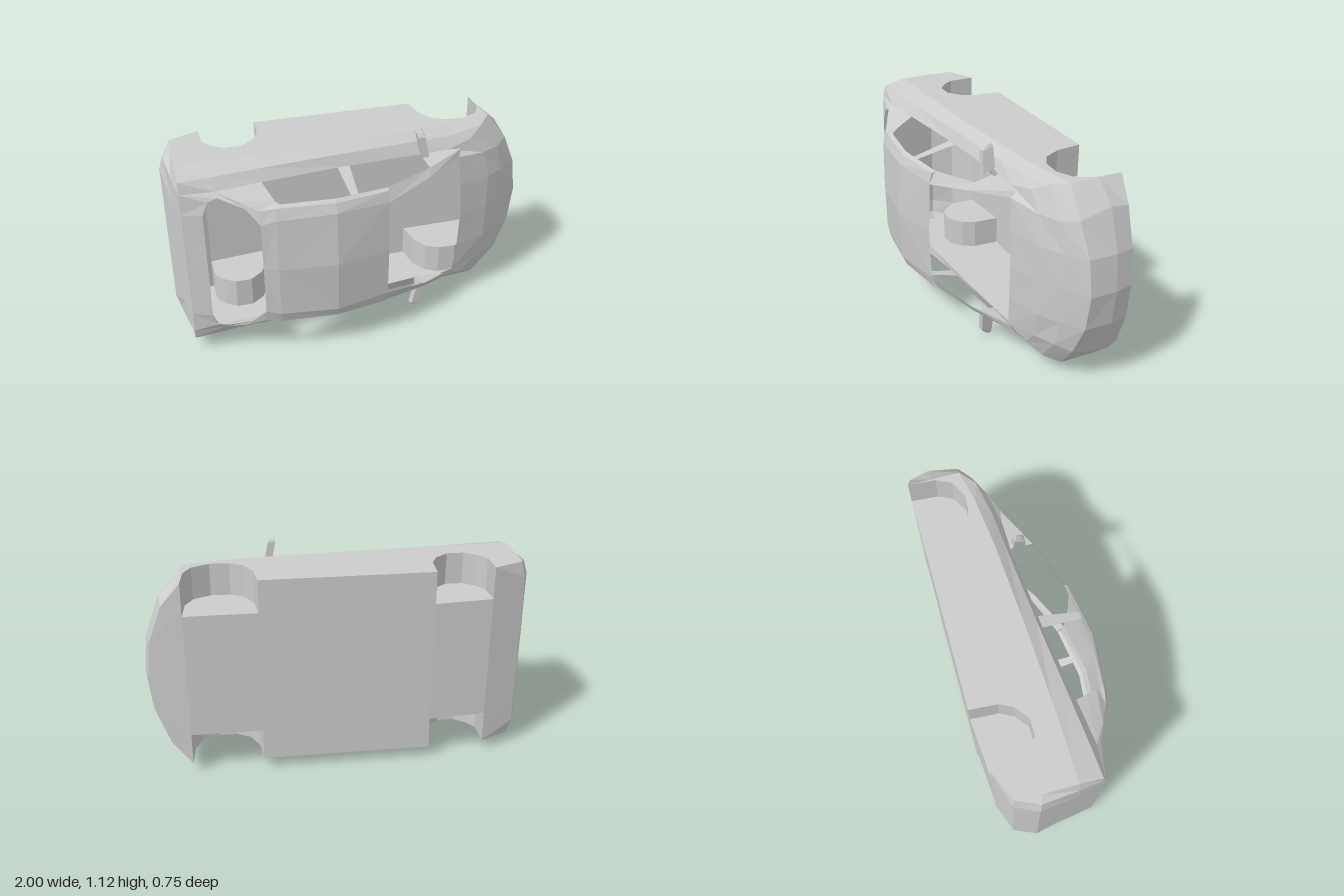
import * as THREE from 'three';

// Points are [x along the car, w half-width, z height]; the car lies with its roof facing +z.
const MID = 0.56;
const material = new THREE.MeshStandardMaterial({ color: 0xcccccc, flatShading: true, side: THREE.DoubleSide });

export function createModel() {
  const car = new THREE.Group();
  car.name = 'carBody';

  // Make one mesh from triangles, turned to face away from a reference point.
  function addMesh(name, tris, ref) {
    const pos = [];
    const n = new THREE.Vector3(), e = new THREE.Vector3();
    for (const t of tris) {
      const [a, b, c] = t.map((p) => new THREE.Vector3(...p));
      n.subVectors(b, a).cross(e.subVectors(c, a));
      if (n.lengthSq() < 1e-12) continue;
      const mid = a.clone().add(b).add(c).divideScalar(3);
      const from = ref || new THREE.Vector3(mid.x * 0.75, 0, -0.08);
      const order = n.dot(mid.sub(from)) < 0 ? [a, c, b] : [a, b, c];
      for (const v of order) pos.push(v.x, v.y + MID, v.z);
    }
    const g = new THREE.BufferGeometry();
    g.setAttribute('position', new THREE.Float32BufferAttribute(pos, 3));
    g.computeVertexNormals();
    const mesh = new THREE.Mesh(g, material);
    mesh.name = name;
    car.add(mesh);
  }

  // Add triangles on the left side and their mirror image on the right.
  function pair(name, tris, ref) {
    for (const s of [1, -1]) {
      const m = tris.map((t) => t.map(([x, w, z]) => [x, w * s, z]));
      addMesh((s > 0 ? 'left' : 'right') + name, m, ref && new THREE.Vector3(ref[0], ref[1] * s, ref[2]));
    }
  }

  // Skin between rows that have equal numbers of points.
  function skin(rows) {
    const t = [];
    for (let i = 0; i + 1 < rows.length; i++) {
      for (let j = 0; j + 1 < rows[i].length; j++) {
        const a = rows[i][j], b = rows[i][j + 1], c = rows[i + 1][j + 1], d = rows[i + 1][j];
        t.push([a, b, c], [a, c, d]);
      }
    }
    return t;
  }
  const panel = (name, rows, ref) => pair(name, skin(rows), ref);

  // Flat outline in x and z, standing at half-width w.
  function sheet(name, outline, w) {
    const v = outline.map(([x, z]) => new THREE.Vector2(x, z));
    const faces = THREE.ShapeUtils.triangulateShape(v, []);
    pair(name, faces.map((f) => f.map((i) => [outline[i][0], w, outline[i][1]])));
  }

  // Wheel arches and wells
  const rearArch = [[-0.77, -0.35], [-0.77, -0.21], [-0.73, -0.15], [-0.67, -0.105], [-0.58, -0.105],
    [-0.51, -0.16], [-0.475, -0.23], [-0.465, -0.375]];
  const frontArch = [[0.42, -0.375], [0.435, -0.24], [0.48, -0.15], [0.55, -0.11], [0.65, -0.105],
    [0.74, -0.15], [0.78, -0.23], [0.79, -0.375]];
  for (const [name, arch] of [['RearWheelWell', rearArch], ['FrontWheelWell', frontArch]]) {
    panel(name, [0.5, 0.33].map((w) => arch.map(([x, z]) => [x, w, z])));
    sheet(name + 'Wall', arch, 0.33);
  }

  // Door sides, shoulders and belt line
  const sideTop = [[-0.94, 0.5, 0.03], [-0.77, 0.5, 0.028], [-0.53, 0.5, 0.02], [-0.1, 0.5, 0],
    [0.34, 0.5, -0.03], [0.6, 0.5, -0.06], [0.79, 0.5, -0.1]];
  const shoulder = [[-0.94, 0.47, 0.15], [-0.77, 0.47, 0.135], [-0.53, 0.47, 0.11], [-0.1, 0.465, 0.065],
    [0.34, 0.46, 0.025], [0.52, 0.46, 0.01], [0.72, 0.48, -0.03]];
  const belt = [[-0.94, 0.41, 0.165], [-0.77, 0.41, 0.175], [-0.53, 0.41, 0.145], [-0.1, 0.405, 0.09],
    [0.34, 0.395, 0.055], [0.5, 0.4, 0.05], [0.64, 0.43, 0.02]];
  sheet('Side', [[-0.94, 0.03], [-0.94, -0.15], [-0.93, -0.28], ...rearArch, ...frontArch,
    ...sideTop.map(([x, , z]) => [x, z]).reverse().slice(0, -1)], 0.5);
  panel('Shoulder', [sideTop, shoulder, belt]);

  // Nose and hood, from the bumper bottom up to the windscreen base
  const noseBottom = [[0.98, 0, -0.345], [0.96, 0.19, -0.347], [0.89, 0.38, -0.355], [0.79, 0.5, -0.375]];
  panel('NoseAndHood', [
    noseBottom,
    [[1, 0, -0.25], [0.98, 0.19, -0.25], [0.905, 0.4, -0.25], [0.79, 0.5, -0.25]],
    [[1, 0, -0.11], [0.975, 0.19, -0.105], [0.9, 0.36, -0.09], [0.79, 0.5, -0.1]],
    [[0.88, 0, -0.03], [0.87, 0.19, -0.03], [0.83, 0.34, -0.025], [0.72, 0.48, -0.03]],
    [[0.76, 0, 0.035], [0.76, 0.19, 0.033], [0.72, 0.34, 0.025], [0.64, 0.43, 0.02]],
    [[0.58, 0, 0.09], [0.572, 0.19, 0.088], [0.555, 0.36, 0.08], [0.5, 0.4, 0.05]],
  ]);

  // Tail, from the deck edge down to the slanted underside
  const deckEdge = [[-0.94, 0, 0.17], [-0.94, 0.3, 0.17], [-0.94, 0.41, 0.165], [-0.94, 0.47, 0.15]];
  const tailLow = [[-0.95, 0, -0.29], [-0.95, 0.3, -0.29], [-0.945, 0.42, -0.29], [-0.93, 0.5, -0.28]];
  panel('Tail', [
    deckEdge,
    [[-0.965, 0, 0.03], [-0.965, 0.3, 0.03], [-0.96, 0.44, 0.03], [-0.94, 0.5, 0.03]],
    [[-1, 0, -0.17], [-1, 0.4, -0.17], [-0.98, 0.47, -0.16], [-0.94, 0.5, -0.15]],
    tailLow,
    tailLow.map(([, w]) => [-0.77, w, -0.35]),
  ]);

  // Floor, narrowed between the wheel wells
  for (const [x0, z0, x1, z1, w] of [[-0.77, -0.35, -0.465, -0.375, 0.33],
    [-0.465, -0.375, 0.42, -0.375, 0.5], [0.42, -0.375, 0.79, -0.375, 0.33]]) {
    panel('Floor', [[[x0, 0, z0], [x0, w, z0]], [[x1, 0, z1], [x1, w, z1]]]);
  }
  panel('NoseUnderside', [noseBottom, noseBottom.map(([, w]) => [0.79, w, -0.375])]);

  // Roof with its side rail
  panel('Roof', [
    [[-0.575, 0, 0.312], [-0.575, 0.26, 0.308], [-0.575, 0.33, 0.29], [-0.56, 0.335, 0.28]],
    [[-0.5, 0, 0.337], [-0.5, 0.28, 0.325], [-0.5, 0.34, 0.305], [-0.47, 0.35, 0.285]],
    [[-0.2, 0, 0.373], [-0.2, 0.29, 0.355], [-0.2, 0.34, 0.335], [-0.2, 0.355, 0.315]],
    [[0.09, 0, 0.312], [0.09, 0.28, 0.303], [0.09, 0.34, 0.288], [0.09, 0.35, 0.27]],
  ]);

  // Rear deck and the frame around the open rear window
  panel('RearDeck', [deckEdge.slice(0, 3).concat([[-0.77, 0.41, 0.175]]),
    [[-0.84, 0, 0.208], [-0.84, 0.3, 0.205], [-0.81, 0.37, 0.2], [-0.76, 0.385, 0.2]]]);
  panel('RearWindowFrame', [
    [[-0.77, 0.41, 0.175], [-0.67, 0.375, 0.24], [-0.575, 0.33, 0.29]],
    [[-0.76, 0.385, 0.2], [-0.64, 0.34, 0.262], [-0.575, 0.26, 0.308]],
  ]);

  // Roof pillars
  panel('RearPillar', [
    [[-0.77, 0.41, 0.175], [-0.67, 0.375, 0.24], [-0.575, 0.33, 0.29], [-0.47, 0.35, 0.285]],
    [[-0.53, 0.41, 0.145], [-0.51, 0.385, 0.21], [-0.49, 0.36, 0.265], [-0.47, 0.35, 0.285]],
  ]);
  panel('MiddlePillar', [[[-0.115, 0.354, 0.305], [-0.075, 0.354, 0.3]], [[-0.125, 0.405, 0.09], [-0.06, 0.405, 0.087]]]);
  panel('FrontPillar', [
    [[0.09, 0.28, 0.303], [0.35, 0.335, 0.2], [0.555, 0.36, 0.08]],
    [[0.09, 0.35, 0.27], [0.35, 0.375, 0.175], [0.57, 0.4, 0.06]],
  ]);
  panel('QuarterPanel', [[[0.35, 0.375, 0.175], [0.57, 0.4, 0.06]], [[0.34, 0.395, 0.055], [0.5, 0.4, 0.05]]]);

  // Door mirrors: a tapered housing lofted along its length, on a short arm
  const ring = (x, w, z, dx, dz, tilt) => [[-1, -1], [1, -1], [1, 1], [-1, 1], [-1, -1]]
    .map(([a, b]) => [x + a * dx, w + b * tilt, z + b * dz]);
  const housing = [ring(0.343, 0.418, 0.098, 0.005, 0.015, -0.005), ring(0.343, 0.425, 0.098, 0.019, 0.032, -0.012),
    ring(0.32, 0.535, 0.095, 0.019, 0.027, -0.01), ring(0.318, 0.552, 0.09, 0.012, 0.014, -0.008)];
  const endCap = (r) => [[r[0], r[1], r[2]], [r[0], r[2], r[3]]];
  pair('MirrorHousing', [...skin(housing), ...endCap(housing[0]), ...endCap(housing[3])], [0.33, 0.48, 0.095]);
  panel('MirrorArm', [ring(0.35, 0.392, 0.06, 0.014, 0.012, 0), ring(0.345, 0.43, 0.082, 0.012, 0.012, 0)], [0.347, 0.41, 0.07]);

  return car;
}
